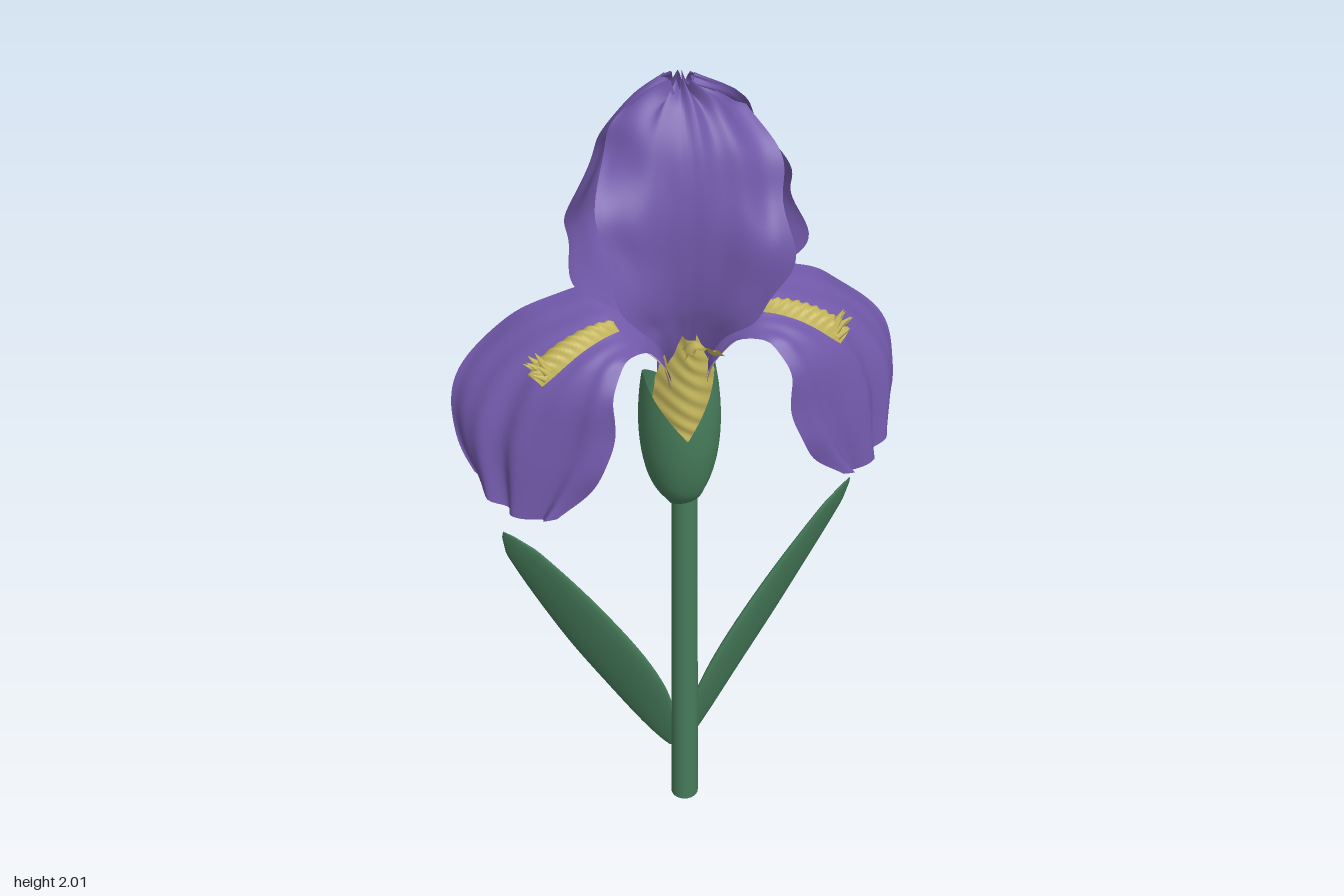
import * as THREE from 'three';
import { mergeGeometries } from 'three/addons/utils/BufferGeometryUtils.js';

const material = (name, color) => {
  const m = new THREE.MeshStandardMaterial({ color, side: THREE.DoubleSide });
  m.name = name;
  return m;
};
const V = (x, y, z) => new THREE.Vector3(x, y, z);
const curve = (pts) => new THREE.CatmullRomCurve3(pts.map((p) => V(...p)));

// Grid bent by a rule: fn(u, v) with u along the part (0..1) and v across it (-1..1)
function bend(fn, nu, nv) {
  const geo = new THREE.PlaneGeometry(1, 1, nv, nu);
  const pos = geo.attributes.position, uv = geo.attributes.uv;
  for (let i = 0; i < pos.count; i++) {
    const p = fn(uv.getY(i), uv.getX(i) * 2 - 1);
    pos.setXYZ(i, p.x, p.y, p.z);
  }
  geo.computeVertexNormals();
  return geo;
}
function surface(name, mat, fn, nu = 48, nv = 36) {
  const mesh = new THREE.Mesh(bend(fn, nu, nv), mat);
  mesh.name = name;
  return mesh;
}

export function createModel() {
  const model = new THREE.Group();
  model.name = 'irisFlower';
  const purple = material('petalPurple', 0x7158a9);
  const green = material('leafGreen', 0x477c5b);
  const yellow = material('beardYellow', 0xc8b95e);
  const pale = material('throatPale', 0xb8a6ae);

  // Stem
  const stem = new THREE.Mesh(new THREE.CylinderGeometry(0.03, 0.034, 0.98, 24), green);
  stem.position.set(0.005, 0.49, -0.02);
  stem.name = 'stem';
  model.add(stem);

  // Lens-section leaves with rounded tips, turned so that the inner edge lies further forward
  const leafPath = curve([[0.015, 0.13, -0.06], [0.1, 0.34, -0.057], [0.235, 0.59, -0.058], [0.415, 0.91, -0.045]]);
  const across = V(-0.72, 0.38, 0.58).normalize();
  const leafNormal = V(0.41, 0.78, 0.01).normalize().cross(across).normalize();
  for (const side of [1, -1]) {
    model.add(surface(side > 0 ? 'leftLeaf' : 'rightLeaf', green, (u, v) => {
      const a = v * Math.PI;
      const w = 0.086 * Math.pow(Math.sin(Math.PI * (0.02 + 0.92 * u)), 0.7) * Math.sqrt(Math.min(1, (1 - u) * 14));
      const p = leafPath.getPoint(u)
        .addScaledVector(across, w * Math.cos(a))
        .addScaledVector(leafNormal, w * 0.19 * Math.sin(a));
      p.x *= side;
      return p;
    }, 60, 28));
  }

  // Two overlapping sheaths around the flower base, the left one taller
  const bulb = curve([[0.03, 0.935, 0], [0.062, 0.99, 0], [0.083, 1.07, 0], [0.09, 1.16, 0], [0.085, 1.25, 0], [0.071, 1.34, 0]]);
  for (const side of [1, -1]) {
    model.add(surface(side > 0 ? 'leftSheath' : 'rightSheath', green, (u, v) => {
      const d = v * 2.15;
      const drop = (v > 0 ? 1 : 0.65) * Math.pow(Math.abs(v), 1.5);
      const top = side > 0 ? 1.34 - 0.24 * drop : 1.295 - 0.2 * drop;
      const b = bulb.getPoint(u * (top - 0.935) / 0.405);
      const r = b.x + (side < 0 ? 0.005 * Math.min(1, u * 3) : 0);
      return V(side * r * Math.cos(d), b.y, -0.035 + r * 1.06 * Math.sin(d));
    }, 24, 40));
  }

  // Falls: lofted between a back edge, a midline and a front edge
  const back = curve([[0.02, 1.28, -0.03], [0.06, 1.44, -0.06], [0.15, 1.505, -0.09], [0.28, 1.475, -0.11],
    [0.415, 1.395, -0.125], [0.515, 1.26, -0.07], [0.48, 1.12, -0.005]]);
  const mid = curve([[0.03, 1.27, 0], [0.07, 1.41, 0.015], [0.155, 1.465, 0.035], [0.25, 1.445, 0.05],
    [0.335, 1.38, 0.06], [0.395, 1.25, 0.075], [0.415, 1.065, 0.09]]);
  const front = curve([[0.03, 1.27, 0.03], [0.055, 1.36, 0.05], [0.11, 1.425, 0.08], [0.175, 1.42, 0.13],
    [0.195, 1.33, 0.165], [0.22, 1.19, 0.17], [0.32, 1.08, 0.155]]);
  const fall = (side, u, v) => {
    const p = V(0, 0, 0)
      .addScaledVector(back.getPoint(u), v * (v - 1) / 2)
      .addScaledVector(mid.getPoint(u), 1 - v * v)
      .addScaledVector(front.getPoint(u), v * (v + 1) / 2);
    const ruffle = 0.006 * Math.pow(v, 4) * Math.min(1, u * 1.6) * Math.sin(u * 30 + v * 2)
      + 0.011 * Math.pow(u, 4) * Math.sin(v * 9) + 0.003 * u * Math.cos(v * 16);
    p.x = side * (p.x + ruffle);
    p.y += ruffle * 0.4;
    p.z += ruffle * 0.6;
    return p;
  };

  for (const side of [1, -1]) {
    const label = side > 0 ? 'left' : 'right';
    model.add(surface(label + 'Fall', purple, (u, v) => fall(side, u, v), 72, 40));
    // Pale lining under the arch, reaching the front edge
    model.add(surface(label + 'FallLining', pale, (u, v) => {
      const p = fall(side, 0.05 + 0.3 * u, 0.35 + v * (0.65 - 0.3 * u));
      p.x += side * 0.004 * (1 - u);
      p.y -= 0.004;
      p.z += 0.003 * (1 - u);
      return p;
    }, 20, 16));

    // Beard: a lumpy ridge lying on the midline, tufted at its outer end
    const beardPoint = (u, v) => {
      const p = fall(side, 0.33 + 0.345 * u, 0.2 * v * Math.pow(Math.sin(Math.PI * (0.08 + 0.84 * u)), 0.4));
      const lift = 0.005 + (0.02 + 0.004 * Math.sin(u * 60 + 5 * v)) * (1 - v * v);
      return p.add(V(side * 0.4, 0.9, 0.15).multiplyScalar(lift));
    };
    const parts = [bend(beardPoint, 60, 12)];
    for (let i = 0; i < 7; i++) {
      const tuft = new THREE.ConeGeometry(0.009, 0.034, 6);
      tuft.rotateZ(-side * (0.5 + 0.1 * i));
      const p = beardPoint(0.84 + 0.022 * i, 0.75 * Math.sin(i * 2.4));
      tuft.translate(p.x + side * 0.005, p.y + 0.012, p.z);
      parts.push(tuft);
    }
    const beard = new THREE.Mesh(mergeGeometries(parts), yellow);
    beard.name = label + 'Beard';
    model.add(beard);
  }

  // Standards: curve points hold half width, height and depth
  const frontShape = curve([[0.03, 1.3, 0], [0.075, 1.44, 0.045], [0.135, 1.52, 0.07], [0.185, 1.63, 0.085],
    [0.198, 1.75, 0.085], [0.175, 1.86, 0.062], [0.12, 1.94, 0.02], [0.03, 1.985, -0.02]]);
  model.add(surface('frontStandard', purple, (u, v) => {
    const p = frontShape.getPoint(u), e = v * v;
    const ripple = e * Math.sin(u * 27 + v * 2.2) * Math.min(1, u * 2);
    const z = p.z + 0.07 * e * Math.sin(2 * Math.PI * Math.pow(u, 1.25)) + 0.012 * ripple
      + 0.008 * u * Math.cos(v * 11) - 0.016 * Math.exp(-v * v * 90) * u;
    return V(p.x * v * (1 + 0.05 * ripple), p.y + 0.012 * u * u * u * Math.sin(v * 14), z);
  }, 64, 48));

  const backShape = curve([[0.045, 1.2, -0.075], [0.05, 1.33, -0.055], [0.08, 1.44, -0.03], [0.18, 1.52, -0.03], [0.242, 1.6, -0.035],
    [0.258, 1.68, -0.045], [0.215, 1.78, -0.045], [0.17, 1.88, -0.04], [0.105, 1.955, -0.035], [0.03, 1.995, -0.03]]);
  model.add(surface('backStandard', purple, (u, v) => {
    const p = backShape.getPoint(u), s = Math.abs(v);
    const t = Math.max(0, (p.y - 1.3) / 0.7);
    const ripple = s * s * Math.sin(t * 26 + v * 2.5) * Math.min(1, t * 2);
    const lobe = Math.sin(Math.PI * Math.pow(s, 0.95));
    const arch = Math.sin(Math.PI * Math.min(1, t));
    const z = p.z - 0.12 * lobe * Math.pow(arch, 0.8) * (0.5 + 0.6 * t)
      + 0.1 * s * s * arch * (1 - t) + 0.016 * ripple + 0.006 * t * Math.cos(v * 22);
    return V(p.x * v * (1 + 0.06 * ripple), p.y + 0.014 * t * t * t * Math.sin(s * 13), z);
  }, 72, 56));

  // Ribbed yellow throat, with a toothed tongue curling out of its top
  const throat = curve([[0.06, 1.1, 0.035], [0.072, 1.2, 0.045], [0.064, 1.32, 0.055], [0.022, 1.43, 0.07]]);
  model.add(surface('throat', yellow, (u, v) => {
    const p = throat.getPoint(u);
    return V(p.x * v, p.y, p.z - 0.05 * v * v + 0.0025 * Math.sin(u * 50 + v * 8));
  }, 60, 24));
  const tongue = curve([[0.018, 1.4, 0.05], [0.022, 1.42, 0.085], [0.028, 1.425, 0.12], [0.046, 1.445, 0.157]]);
  model.add(surface('tongue', yellow, (u, v) => {
    const p = tongue.getPoint(u);
    return V(p.x * v, p.y + 0.02 * (1 - v * v), p.z + 0.007 * Math.pow(u, 4) * Math.cos(v * 13));
  }, 24, 28));

  return model;
}
